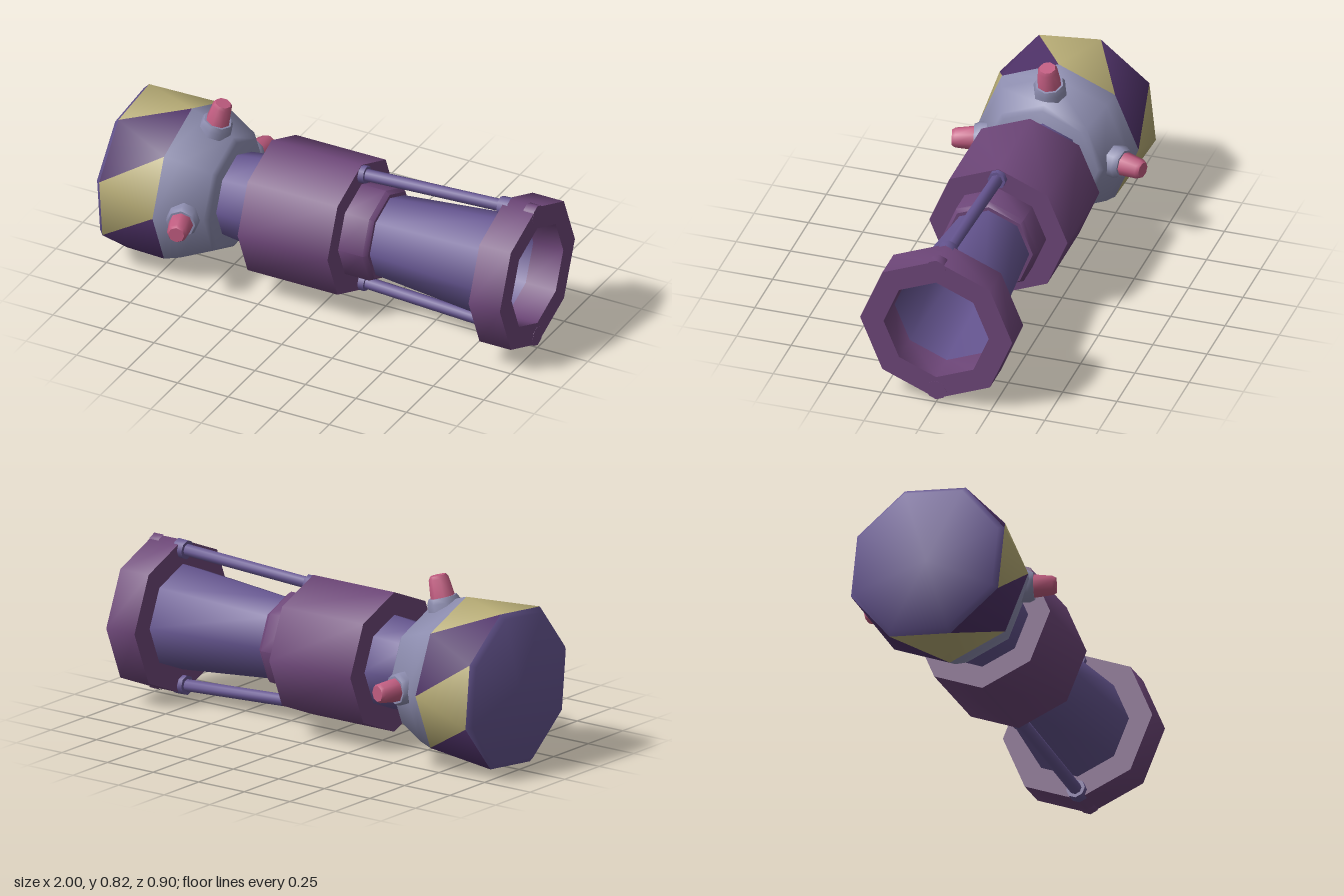
import * as THREE from 'three';
import { toCreasedNormals } from 'three/addons/utils/BufferGeometryUtils.js';

const AXIS_Y = 0.37;
const SIDES = 8;
const CREASE = 0.9;

const material = (color) => new THREE.MeshStandardMaterial({ color });
const violet = material(0x655590);
const plum = material(0x6d4678);
const lavender = material(0x8c8cae);
const pink = material(0xc05c80);
const darkPurple = material(0x4f3268);
const sand = material(0xb5aa74);

// Eight-sided turned part around local y, from [height, radius] pairs
function turned(profile) {
  const points = profile.map(([h, r]) => new THREE.Vector2(r, h));
  return toCreasedNormals(new THREE.LatheGeometry(points, SIDES), CREASE);
}

function addMesh(parent, name, geometry, mat) {
  const mesh = new THREE.Mesh(geometry, mat);
  mesh.name = name;
  parent.add(mesh);
  return mesh;
}

// Turned part laid along the x axis
function addAxial(parent, name, profile, mat) {
  const geometry = turned(profile);
  geometry.rotateZ(-Math.PI / 2);
  return addMesh(parent, name, geometry, mat);
}

// Twisted band whose eight panels alternate between two colours
function stripedBand(x0, r0, x1, r1, twist) {
  const positions = [];
  const geometry = new THREE.BufferGeometry();
  const corner = (x, r, t) => [x, r * Math.sin(t), r * Math.cos(t)];
  const step = (Math.PI * 2) / SIDES;
  for (let k = 0; k < SIDES; k++) {
    const a = k * step;
    const b = a + step;
    const l0 = corner(x0, r0, a - twist);
    const l1 = corner(x0, r0, b - twist);
    const p0 = corner(x1, r1, a);
    const p1 = corner(x1, r1, b);
    positions.push(...l0, ...p0, ...l1, ...p0, ...p1, ...l1);
    geometry.addGroup(k * 6, 6, k % 2);
  }
  geometry.setAttribute('position', new THREE.Float32BufferAttribute(positions, 3));
  return toCreasedNormals(geometry, CREASE);
}

export function createModel() {
  const model = new THREE.Group();
  const body = new THREE.Group();
  body.name = 'body';
  body.position.y = AXIS_Y;
  model.add(body);

  // Pommel: end cap, twisted stripes, dome
  const twist = THREE.MathUtils.degToRad(28.5);
  const cap = addAxial(body, 'endCap', [[-1, 0], [-1, 0.352], [-0.978, 0.375]], violet);
  cap.rotation.x = twist;
  addMesh(body, 'stripedBand', stripedBand(-0.978, 0.375, -0.71, 0.368, twist), [sand, darkPurple]);
  addAxial(body, 'dome',
    [[-0.71, 0.368], [-0.64, 0.345], [-0.505, 0.278], [-0.487, 0.255], [-0.487, 0]], lavender);

  // Grip: neck, main sleeve, collar
  addAxial(body, 'neck', [[-0.5, 0.192], [-0.3, 0.217]], violet);
  addAxial(body, 'sleeve', [[-0.315, 0], [-0.315, 0.318], [0.13, 0.318], [0.13, 0]], plum);
  addAxial(body, 'collar', [[0.12, 0.22], [0.25, 0.22], [0.27, 0.205], [0.27, 0]], plum);

  // Hollow flared barrel and its end ring
  addAxial(body, 'barrel', [[0.26, 0.187], [0.86, 0.242]], violet);
  addAxial(body, 'bore', [[0.9, 0.242], [0.85, 0.24], [0.28, 0.188], [0.28, 0]], violet);
  addAxial(body, 'endRing',
    [[0.845, 0.235], [0.845, 0.35], [1, 0.35], [1, 0.242], [0.845, 0.24]], plum);

  // Braces above and below the barrel
  for (const side of [1, -1]) {
    const brace = new THREE.Group();
    brace.name = side > 0 ? 'upperBrace' : 'lowerBrace';
    const start = new THREE.Vector2(0.13, 0.274);
    const end = new THREE.Vector2(0.85, 0.31);
    const length = start.distanceTo(end);
    addAxial(brace, 'rod', [[0, 0.028], [length, 0.028]], violet);
    addAxial(brace, 'innerFerrule', [[-0.02, 0.041], [0.028, 0.041], [0.028, 0]], violet);
    addAxial(brace, 'outerFerrule',
      [[length - 0.03, 0], [length - 0.03, 0.044], [length + 0.02, 0.044]], violet);
    brace.position.set(start.x, side * start.y, 0);
    brace.rotation.z = side * Math.atan2(end.y - start.y, end.x - start.x);
    body.add(brace);
    const plug = addAxial(body, 'ringPlug', [[0.95, 0.047], [1.001, 0.047], [1.001, 0]], plum);
    plug.position.y = side * 0.308;
  }

  // Studs on the dome: front, top and back
  ['frontStud', 'topStud', 'backStud'].forEach((name, i) => {
    const pivot = new THREE.Group();
    pivot.name = name;
    pivot.rotation.x = (1 - i) * Math.PI / 2;
    const stud = new THREE.Group();
    stud.position.set(-0.597, 0.285, 0);
    stud.rotation.z = -0.27;
    addMesh(stud, 'studBase', turned([[-0.04, 0.075], [0.04, 0.075], [0.063, 0.064], [0.063, 0]]), lavender);
    addMesh(stud, 'studTip',
      turned([[0.05, 0.056], [0.145, 0.045], [0.16, 0.036], [0.16, 0]]), pink);
    pivot.add(stud);
    body.add(pivot);
  });

  return model;
}
